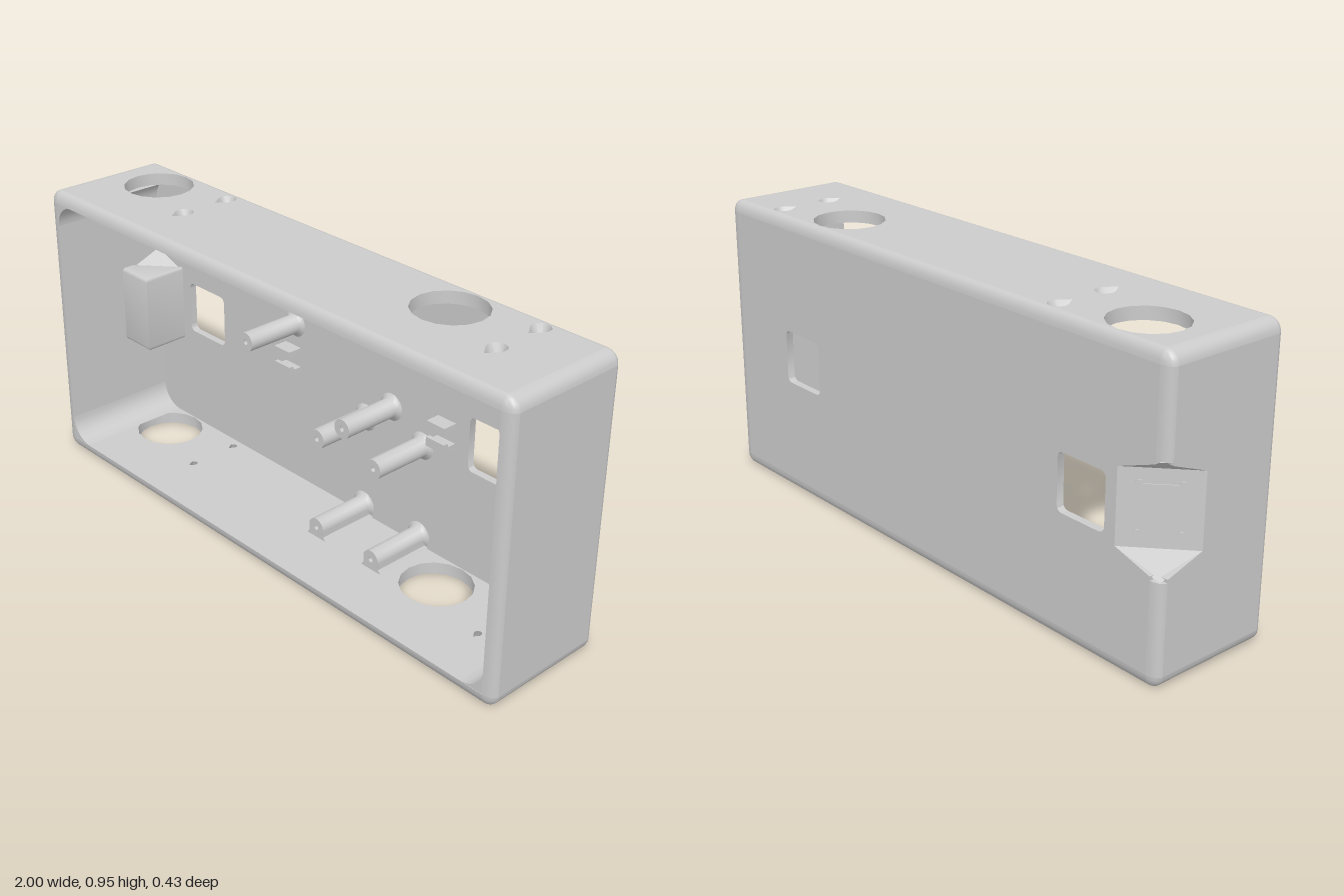
import * as THREE from 'three';
import { toCreasedNormals } from 'three/addons/utils/BufferGeometryUtils.js';

const H = 0.955, R = 0.04, RZ = 0.025;      // height, edge radius, edge radius along z
const XI = 1 - R, Y0 = R, Y1 = H - R, ZI = 0.215 - RZ; // inner limits
const mat = new THREE.MeshStandardMaterial({ color: 0xcccccc });
const matDouble = new THREE.MeshStandardMaterial({ color: 0xcccccc, side: THREE.DoubleSide });

const polygon = pts => new THREE.Shape(pts.map(p => new THREE.Vector2(p[0], p[1])));
const extrude = (shape, depth) =>
  new THREE.ExtrudeGeometry(shape, { depth, bevelEnabled: false, curveSegments: 8 });
// Extrusions laid so that the shape lies in (x, z) or (z, y); depth then runs to -y or -x
const alongY = (shape, depth, top) => extrude(shape, depth).rotateX(Math.PI / 2).translate(0, top, 0);
const alongX = (shape, depth, right) => extrude(shape, depth).rotateY(-Math.PI / 2).translate(right, 0, 0);

function roundedHole(x0, y0, w, h, r) {
  const p = new THREE.Path();
  p.absarc(x0 + w - r, y0 + r, r, -Math.PI / 2, 0);
  p.absarc(x0 + w - r, y0 + h - r, r, 0, Math.PI / 2);
  p.absarc(x0 + r, y0 + h - r, r, Math.PI / 2, Math.PI);
  p.absarc(x0 + r, y0 + r, r, Math.PI, Math.PI * 1.5);
  p.closePath();
  return p;
}

// Quarter ellipse around (cx, cy), opening towards (sx, sy)
function quarter(cx, cy, sx, sy, a, b) {
  const pts = [[cx, cy]];
  for (let i = 0; i <= 5; i++) {
    const t = i / 5 * Math.PI / 2;
    pts.push([cx + sx * a * Math.cos(t), cy + sy * b * Math.sin(t)]);
  }
  return polygon(pts);
}

// Teardrop outline with its point towards +z
function teardrop(cx, cz, s) {
  const pts = [[cx, cz + 0.052 * s]];
  for (let i = 0; i <= 8; i++) {
    const t = Math.PI * (0.8 + i / 8 * 1.4);
    pts.push([cx - 0.03 * s * Math.cos(t), cz + 0.03 * s * Math.sin(t)]);
  }
  return pts;
}

// Countersunk funnel filling a teardrop opening in the top or bottom wall
function funnel(cx, cz, yOut, yIn) {
  const rings = [[1, yOut], [0.4, yIn], [1, yIn]].map(([s, y]) =>
    teardrop(cx, cz, s).map(p => [p[0], y, p[1]]));
  const n = rings[0].length, index = [];
  for (let k = 0; k < 2; k++) for (let i = 0; i < n; i++) {
    const a = k * n + i, b = k * n + (i + 1) % n;
    index.push(a, b, a + n, b, b + n, a + n);
  }
  const g = new THREE.BufferGeometry();
  g.setAttribute('position', new THREE.Float32BufferAttribute(rings.flat(2), 3));
  g.setIndex(index);
  return g;
}

export function createModel() {
  const model = new THREE.Group();
  const add = (name, geo, m = mat) => {
    const mesh = new THREE.Mesh(toCreasedNormals(geo, 0.6), m);
    mesh.name = name;
    model.add(mesh);
    return mesh;
  };

  // Corner notch: a slanted panel with flared ends
  const NX = -0.83, NZ = -0.06, nLow = 0.37, nHigh = 0.6, fLow = 0.32, fHigh = 0.66;

  // Back wall with two windows
  const back = polygon([[-XI, Y0], [XI, Y0], [XI, Y1], [-XI, Y1],
    [-XI, fHigh - 0.012], [NX, nHigh], [NX, nLow], [-XI, fLow + 0.012]]);
  for (const x of [-0.79, 0.515]) back.holes.push(roundedHole(x, 0.39, 0.183, 0.18, 0.02));
  add('backWall', extrude(back, RZ).translate(0, 0, -0.215));

  // Side walls
  add('leftWall', alongX(polygon([[-ZI, Y0], [ZI, Y0], [ZI, Y1], [-ZI, Y1]]), R, 1));
  add('rightWall', alongX(polygon([[-ZI, Y0], [ZI, Y0], [ZI, Y1], [-ZI, Y1],
    [-ZI, fHigh - 0.01], [NZ, nHigh], [NZ, nLow], [-ZI, fLow + 0.01]]), R, -XI));

  // Top and bottom walls with round ports and teardrop hanging holes
  for (const [name, top, yOut, yIn] of [['topWall', H, H, Y1], ['bottomWall', Y0, 0, Y0]]) {
    const s = polygon([[-XI, -ZI], [XI, -ZI], [XI, ZI], [-XI, ZI]]);
    for (const x of [-0.785, 0.52]) {
      const pts = [];
      for (let i = 0; i < 16; i++) {
        const t = i / 16 * Math.PI * 2;
        pts.push(new THREE.Vector2(x + 0.117 * Math.cos(t), -0.073 + 0.114 * Math.sin(t)));
      }
      s.holes.push(new THREE.Path(pts));
    }
    for (const x of [-0.535, 0.77]) for (const z of [-0.158, 0.018]) {
      s.holes.push(new THREE.Path(teardrop(x, z, 1).map(p => new THREE.Vector2(p[0], p[1]))));
      add('hangingHole', funnel(x, z, yOut, yIn), matDouble);
    }
    add(name, alongY(s, R, top));
  }

  // Rounded outer edges, corners and inner corner fillets
  for (const sy of [-1, 1]) {
    const y = sy > 0 ? Y1 : Y0;
    for (const sz of [-1, 1])
      add('longEdge', alongX(quarter(sz * ZI, y, sz, sy, RZ, R), 2 * XI, XI));
    for (const sx of [-1, 1]) {
      add('depthEdge', extrude(quarter(sx * XI, y, sx, sy, R, R), 2 * ZI).translate(0, 0, -ZI));
      const f = 0.08, fillet = [[sx * XI, y]];
      for (let i = 0; i <= 8; i++) {
        const t = i / 8 * Math.PI / 2;
        fillet.push([sx * (XI - f + f * Math.sin(t)), y - sy * (f - f * Math.cos(t))]);
      }
      add('innerFillet', extrude(polygon(fillet), ZI + 0.214).translate(0, 0, -ZI));
      for (const sz of [-1, 1]) {
        const phi = sz > 0 ? (sx < 0 ? 0 : 1) : (sx > 0 ? 2 : 3);
        const ball = new THREE.SphereGeometry(1, 5, 5, phi * Math.PI / 2, Math.PI / 2,
          sy > 0 ? 0 : Math.PI / 2, Math.PI / 2);
        add('corner', ball.scale(R, R, RZ).translate(sx * XI, y, sz * ZI));
      }
    }
  }
  for (const sx of [-1, 1]) for (const sz of [-1, 1]) {
    const spans = sx < 0 && sz < 0 ? [[Y0, fLow], [fHigh, Y1]] : [[Y0, Y1]];
    for (const [a, b] of spans)
      add('uprightEdge', alongY(quarter(sx * XI, sz * ZI, sx, sz, R, RZ), b - a, b));
  }

  // Notch surfaces
  const notch = new THREE.BufferGeometry();
  notch.setAttribute('position', new THREE.Float32BufferAttribute([
    NX, nHigh, -0.215, -1, nHigh, NZ, -0.988, fHigh, -0.207,
    NX, nLow, -0.215, -1, nLow, NZ, -0.988, fLow, -0.207], 3));
  notch.setIndex([0, 3, 4, 0, 4, 1, 0, 1, 2, 3, 5, 4]);
  add('notch', notch, matDouble);

  // Socket plate with corner studs on the slanted panel
  const plate = new THREE.Group();
  plate.name = 'socketPlate';
  plate.position.set((NX - 1) / 2, 0.485, (NZ - 0.215) / 2);
  plate.rotation.y = Math.atan2(-0.674, -0.739);
  plate.add(new THREE.Mesh(new THREE.BoxGeometry(0.11, 0.14, 0.006), mat));
  for (const x of [-1, 1]) for (const y of [-1, 1]) {
    const stud = new THREE.Mesh(new THREE.CylinderGeometry(0.01, 0.01, 0.01, 10).rotateX(Math.PI / 2), mat);
    stud.position.set(x * 0.057, y * 0.072, 0);
    plate.add(stud);
  }
  model.add(plate);

  // Housing behind the notch, inside the case
  const e = 0.012;
  const housing = polygon([[-0.965, -0.03 - e], [-0.825 - e, -0.03 - e],
    [-0.825 - e, -0.185], [-0.965, -0.068]]);
  add('notchHousing', new THREE.ExtrudeGeometry(housing, {
    depth: 0.27 - 2 * e, bevelSize: e, bevelThickness: e, bevelSegments: 3,
  }).rotateX(Math.PI / 2).translate(0, 0.615 - e, 0));

  // Screw posts on the back wall
  const profile = [[0.046, 0], [0.037, 0.006], [0.032, 0.016], [0.032, 0.21], [0.009, 0.21], [0.009, 0.14], [0, 0.14]]
    .map(p => new THREE.Vector2(p[0], p[1]));
  const posts = [[-0.245, 0.85], [-0.245, 0.605], [0.21, 0.89], [0.195, 0.475],
    [0.085, 0.395], [0.33, 0.395], [0.085, 0.075], [0.33, 0.075]];
  for (const [x, y] of posts) {
    add('screwPost', new THREE.LatheGeometry(profile, 20).rotateX(Math.PI / 2).translate(x, y, -ZI));
    // The lowest posts stand on flared feet
    if (y < 0.1) add('postFoot', extrude(polygon([[x - 0.045, Y0 - 0.005], [x + 0.045, Y0 - 0.005],
      [x + 0.032, Y0 + 0.012], [x + 0.032, y], [x + 0.01, y], [x + 0.01, y - 0.012], [x - 0.01, y - 0.012],
      [x - 0.01, y], [x - 0.032, y], [x - 0.032, Y0 + 0.012]]), 0.209).translate(0, 0, -ZI));
  }

  // Paired cable clips with small lips
  for (const x of [-0.255, 0.425]) for (const [y, s] of [[0.51, 1], [0.455, -1]]) {
    const side = polygon([[-ZI - 0.005, y + s * 0.015], [-0.14, y + s * 0.015], [-0.14, y - s * 0.015],
      [-0.155, y - s * 0.015], [-0.162, y - s * 0.002], [-ZI - 0.005, y - s * 0.002]]);
    add('cableClip', alongX(side, 0.072, x + 0.036));
  }
  return model;
}
